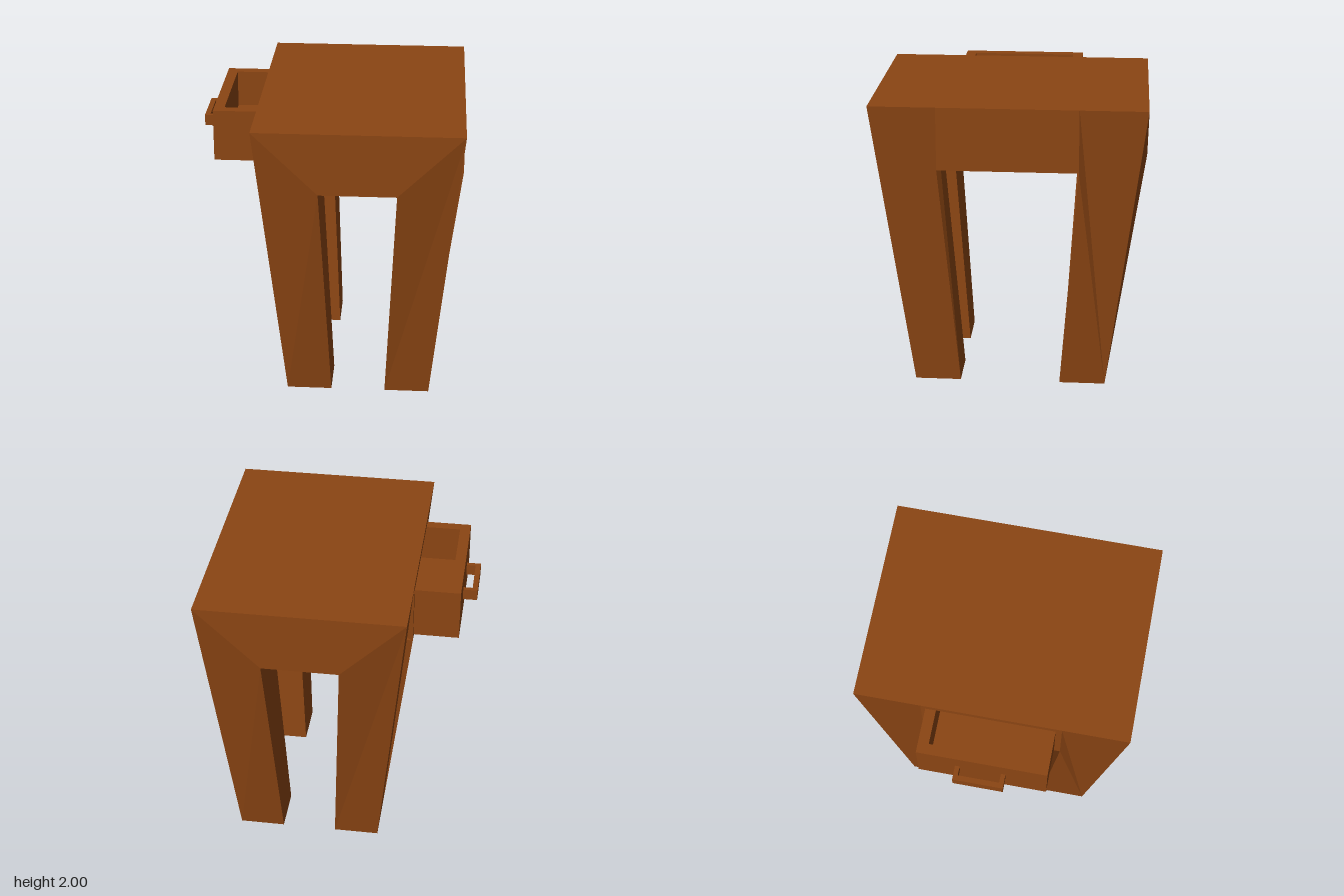
import * as THREE from 'three';

const CX = 0.195;                 // table centre in x (the open drawer sticks out at -x)
const HX = 0.685, HZ = 0.9;       // half size of the top
const IX = 0.255, IZ = 0.46;      // inner edge of the legs at the apron
const TOP = 2, LOW = 1.58;        // apron heights

const wood = new THREE.MeshStandardMaterial({ color: 0x8b4513, flatShading: true, side: THREE.DoubleSide });

function mesh(name, geometry) {
  const m = new THREE.Mesh(geometry, wood);
  m.name = name;
  return m;
}

// Flat polygons (corner lists), each cut into a fan of triangles
function polygons(faces) {
  const pos = [];
  for (const f of faces)
    for (let i = 1; i < f.length - 1; i++) pos.push(...f[0], ...f[i], ...f[i + 1]);
  const g = new THREE.BufferGeometry();
  g.setAttribute('position', new THREE.Float32BufferAttribute(pos, 3));
  g.computeVertexNormals();
  return g;
}

function outline(points) {
  return new THREE.Shape(points.map(([x, y]) => new THREE.Vector2(x, y)));
}

function rect(x0, x1, y0, y1) {
  return outline([[x0, y0], [x1, y0], [x1, y1], [x0, y1]]);
}

// Plan shape (x, z) extruded downwards from height y
function slab(shape, y, depth) {
  return new THREE.ExtrudeGeometry(shape, { depth, bevelEnabled: false }).rotateX(Math.PI / 2).translate(0, y, 0);
}

// Tapered corner leg, mirrored by sx and sz; diagonal pairs are creased differently
function leg(name, sx, sz) {
  const p = (x, y, z) => [CX + sx * x, y, sz * z];
  const A = p(HX, TOP, HZ), B = p(HX, TOP, IZ), C = p(HX, LOW, IZ);
  const G = p(IX, LOW, HZ), F = p(IX, LOW, IZ);
  const E = p(0.49, 0, 0.65), S = p(0.49, 0, 0.34), D = p(0.185, 0, 0.65), I = p(0.185, 0, 0.34);
  const even = sx * sz > 0;
  const outer = even
    ? [[A, S, B], [A, E, S], [B, S, C], [A, G, D], [A, D, E]]
    : [[A, E, B], [B, E, C], [C, E, S], [A, G, E], [G, D, E]];
  const faces = [...outer, [G, F, I, D], [F, C, S, I], [E, D, I, S]];
  return mesh(name, polygons(even ? faces : faces.map(f => f.slice().reverse())));
}

export function createModel() {
  const model = new THREE.Group();
  model.name = 'sideTable';
  const x0 = CX - HX, x1 = CX + HX;

  // Table top
  model.add(mesh('tableTop', polygons([[[x0, TOP, HZ], [x1, TOP, HZ], [x1, TOP, -HZ], [x0, TOP, -HZ]]])));

  // Front and back aprons, mitred into the legs
  for (const s of [1, -1]) {
    const p = (x, y) => [CX + s * x, y, s * HZ];
    model.add(mesh(s > 0 ? 'frontApron' : 'backApron',
      polygons([[p(-HX, TOP), p(-IX, LOW), p(IX, LOW), p(HX, TOP)]])));
  }

  // Side aprons; the right one has the drawer opening
  model.add(mesh('leftApron', polygons([[[x1, LOW, IZ], [x1, LOW, -IZ], [x1, TOP, -IZ], [x1, TOP, IZ]]])));
  const slotted = rect(-IZ, IZ, LOW, TOP);
  slotted.holes.push(rect(-0.43, 0.42, 1.61, 1.96));
  model.add(mesh('rightApron', new THREE.ShapeGeometry(slotted).rotateY(-Math.PI / 2).translate(x0, 0, 0)));

  // Cross-shaped underside between the legs
  const under = outline([
    [-IX, -HZ], [IX, -HZ], [IX, -IZ], [HX, -IZ], [HX, IZ], [IX, IZ],
    [IX, HZ], [-IX, HZ], [-IX, IZ], [-HX, IZ], [-HX, -IZ], [-IX, -IZ]]);
  model.add(mesh('underside', new THREE.ShapeGeometry(under).rotateX(Math.PI / 2).translate(CX, LOW, 0)));

  // Legs
  model.add(leg('frontLeftLeg', 1, 1), leg('frontRightLeg', -1, 1));
  model.add(leg('backLeftLeg', 1, -1), leg('backRightLeg', -1, -1));

  // Drawer, pulled partly out
  const drawer = new THREE.Group();
  drawer.name = 'drawer';
  const walls = rect(-0.79, 0.45, -0.43, 0.42);
  walls.holes.push(rect(-0.72, 0.38, -0.36, 0.35));
  drawer.add(mesh('drawerWalls', slab(walls, 1.96, 0.35)));
  drawer.add(mesh('drawerFloor', slab(rect(-0.72, 0.38, -0.36, 0.35), 1.71, 0.1)));
  const handle = outline([
    [-0.79, -0.18], [-0.885, -0.18], [-0.885, 0.15], [-0.79, 0.15],
    [-0.79, 0.12], [-0.85, 0.12], [-0.85, -0.15], [-0.79, -0.15]]);
  drawer.add(mesh('drawerHandle', slab(handle, 1.825, 0.075)));
  model.add(drawer);

  return model;
}
